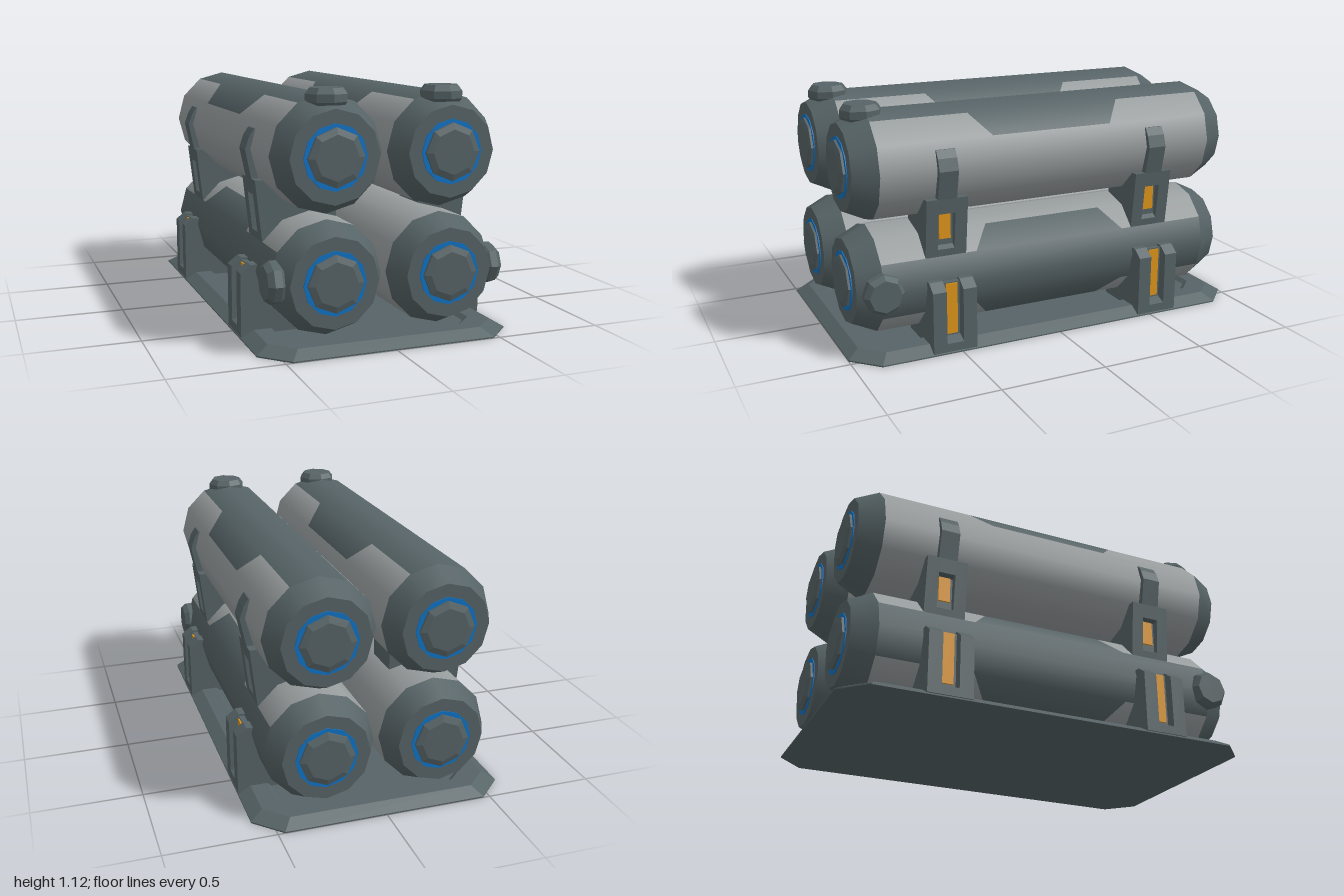
import * as THREE from 'three';

const mat = (name, color, extra = {}) => Object.assign(new THREE.MeshStandardMaterial({ color, ...extra }), { name });

export function createModel() {
  const dark = mat('dark slate', 0x566366);
  const light = mat('light grey', 0x989d9e);
  const blue = mat('blue', 0x0f72c4);
  const orange = mat('orange', 0xdc941a);
  const model = new THREE.Group();
  model.name = 'tankRack';

  const add = (parent, name, geo, material) => {
    const mesh = new THREE.Mesh(geo, material);
    mesh.name = name;
    parent.add(mesh);
    return mesh;
  };
  const flat = (geo) => {
    const g = geo.index ? geo.toNonIndexed() : geo;
    g.computeVertexNormals();
    return g;
  };
  // Tapered prism along y from y0 (radius r0) to y1 (radius r1)
  const frustum = (r0, r1, y0, y1, sides) =>
    new THREE.CylinderGeometry(r1, r0, y1 - y0, sides).translate(0, (y0 + y1) / 2, 0);

  // Base plate: stacked chamfered rectangles, with a shallow tray in the top
  const ring = ([hx, hz, c, y]) => [
    [hx, y, hz - c], [hx, y, c - hz], [hx - c, y, -hz], [c - hx, y, -hz],
    [-hx, y, c - hz], [-hx, y, hz - c], [c - hx, y, hz], [hx - c, y, hz]];
  const rings = [[0.588, 1, 0.12, 0], [0.588, 1, 0.12, 0.006], [0.53, 0.945, 0.1, 0.04],
    [0.45, 0.87, 0.08, 0.04], [0.43, 0.85, 0.07, 0.022]].map(ring);
  const tris = [];
  for (let k = 0; k < rings.length - 1; k++) {
    for (let i = 0; i < 8; i++) {
      const j = (i + 1) % 8, a = rings[k], b = rings[k + 1];
      tris.push(a[i], a[j], b[j], a[i], b[j], b[i]);
    }
  }
  const floor = rings[0], tray = rings[rings.length - 1];
  for (let i = 1; i < 7; i++) tris.push(floor[0], floor[i + 1], floor[i], tray[0], tray[i], tray[i + 1]);
  const baseGeo = new THREE.BufferGeometry();
  baseGeo.setAttribute('position', new THREE.Float32BufferAttribute(tris.flat(), 3));
  add(model, 'basePlate', flat(baseGeo), dark);

  // Tank shell: twelve facets, some cut diagonally where the dark stripe widens
  const R = 0.253, L = 0.84;
  const shell = (facets) => {
    const pos = [], nor = [];
    for (const [d0, d1, lo0, hi0, lo1, hi1] of facets) {
      const a = THREE.MathUtils.degToRad(d0), b = THREE.MathUtils.degToRad(d1);
      for (const [t, z] of [[a, hi0], [b, hi1], [a, lo0], [a, lo0], [b, hi1], [b, lo1]]) {
        pos.push(R * Math.sin(t), R * Math.cos(t), z);
        nor.push(Math.sin(t), Math.cos(t), 0);
      }
    }
    const g = new THREE.BufferGeometry();
    g.setAttribute('position', new THREE.Float32BufferAttribute(pos, 3));
    g.setAttribute('normal', new THREE.Float32BufferAttribute(nor, 3));
    return g;
  };
  const n = 0.385, w = 0.3;
  const stripe = [[-60, -30, -w, w, -n, n], [-30, 0, -L, L, -L, L], [0, 30, -L, L, -L, L], [30, 60, -n, n, -w, w]];
  const sides = [
    [-60, -30, w, L, n, L], [-60, -30, -L, -w, -L, -n],
    [30, 60, n, L, w, L], [30, 60, -L, -n, -L, -w]];
  for (let d = 60; d < 300; d += 30) sides.push([d, d + 30, -L, L, -L, L]);

  const makeTank = (name) => {
    const tank = new THREE.Group();
    tank.name = name;
    add(tank, 'shellStripe', shell(stripe), dark);
    add(tank, 'shellSides', shell(sides), light);
    for (const turn of [0, Math.PI]) {
      const end = new THREE.Group();
      end.name = turn ? 'backCap' : 'frontCap';
      end.rotation.y = turn;
      const put = (part, geo, m) => add(end, part, geo.rotateX(Math.PI / 2), m);
      put('capBevel', frustum(R, 0.2, L, 0.95, 12), dark);
      put('capRing', frustum(0.141, 0.141, 0.946, 0.954, 12), blue);
      put('capHub', flat(frustum(0.126, 0.126, 0.94, 0.965, 8)), dark);
      put('capHubBevel', flat(frustum(0.126, 0.097, 0.965, 0.975, 8)), dark);
      tank.add(end);
    }
    // Valve knob near the front end of the stripe
    const valve = new THREE.Group();
    valve.name = 'valve';
    valve.position.z = 0.84;
    add(valve, 'valveFoot', flat(frustum(0.075, 0.095, 0.195, 0.222, 8)), dark);
    add(valve, 'valveBody', flat(frustum(0.095, 0.095, 0.222, 0.255, 8)), dark);
    add(valve, 'valveTop', flat(frustum(0.095, 0.075, 0.255, 0.28, 8)), dark);
    tank.add(valve);
    return tank;
  };

  // Profile in x and y, mirrored by s and extruded between z0 and z1
  const slab = (s, pts, z0, z1) => new THREE.ExtrudeGeometry(
    new THREE.Shape(pts.map(([x, y]) => new THREE.Vector2(s * x, y))),
    { depth: z1 - z0, bevelEnabled: false }).translate(0, 0, z0);

  for (const s of [1, -1]) {
    const sideName = s > 0 ? 'left' : 'right';
    const upper = makeTank(sideName + 'UpperTank');
    upper.position.set(s * 0.265, 0.835, 0);
    const lower = makeTank(sideName + 'LowerTank');
    lower.position.set(s * 0.265, 0.305, 0);
    lower.rotation.z = -s * Math.PI / 2;
    model.add(upper, lower);

    const inner = s > 0 ? 0.265 : 0.14;
    for (const z of [0.535, -0.535]) {
      // Lower bracket: two cheeks around a recessed core with an orange plate
      const foot = new THREE.Group();
      foot.name = sideName + 'FootBracket';
      foot.position.z = z;
      const cheek = [[0.28, 0.01], [0.587, 0.01], [0.587, 0.3], [0.54, 0.335], [0.5, 0.335], [0.44, 0.15], [0.28, 0.09]];
      const core = [[0.28, 0.01], [0.587, 0.01], [0.587, 0.05], [0.54, 0.07], [0.54, 0.325], [0.5, 0.325], [0.44, 0.15], [0.28, 0.09]];
      add(foot, 'footCheek', slab(s, cheek, 0.04, 0.105), dark);
      add(foot, 'footCheek', slab(s, cheek, -0.105, -0.04), dark);
      add(foot, 'footCore', slab(s, core, -0.04, 0.04), dark);
      add(foot, 'footPlate', new THREE.BoxGeometry(0.008, 0.24, 0.055).translate(s * 0.543, 0.2, 0), orange);

      // Middle bracket joining the lower and upper tanks
      const joint = new THREE.Group();
      joint.name = sideName + 'MiddleBracket';
      joint.position.z = z;
      const web = [[inner, 0.51], [inner, 0.63], [0.4, 0.705], [0.515, 0.705], [0.484, 0.43], [0.44, 0.43], [0.38, 0.5]];
      const webCore = [[inner, 0.51], [inner, 0.63], [0.4, 0.705], [0.515, 0.705], [0.507, 0.635], [0.47, 0.63],
        [0.465, 0.48], [0.488, 0.465], [0.484, 0.43], [0.44, 0.43], [0.38, 0.5]];
      add(joint, 'webCheek', slab(s, web, 0.04, 0.098), dark);
      add(joint, 'webCheek', slab(s, web, -0.098, -0.04), dark);
      add(joint, 'webCore', slab(s, webCore, -0.04, 0.04), dark);
      add(joint, 'webPlate', new THREE.BoxGeometry(0.008, 0.12, 0.055).translate(s * 0.472, 0.57, 0), orange);

      // Clip gripping the flank of the upper tank
      const clip = [[0.44, 0.69], [0.514, 0.7], [0.542, 0.835], [0.523, 0.89], [0.5, 0.925], [0.46, 0.925]];
      add(joint, 'tankClip', slab(s, clip, -0.045, 0.045), dark);
      model.add(foot, joint);
    }
  }
  return model;
}
